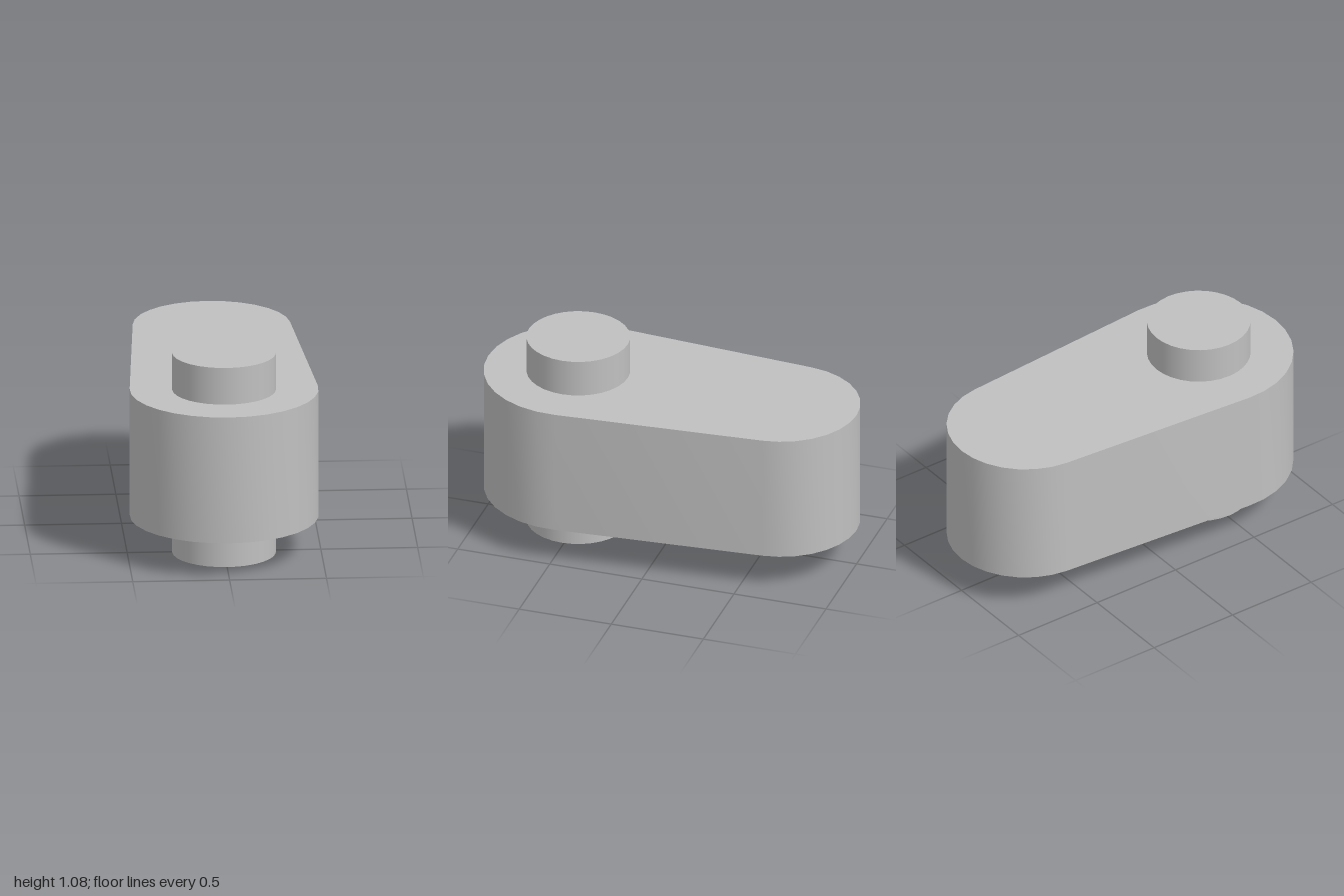
import * as THREE from 'three';
import { toCreasedNormals } from 'three/addons/utils/BufferGeometryUtils.js';

export function createModel() {
  const model = new THREE.Group();
  model.name = 'cranklink';
  const grey = new THREE.MeshStandardMaterial({ color: 0xc0c0c0 });
  grey.name = 'light grey';

  const frontR = 0.487, frontZ = 0.513;
  const backR = 0.407, backZ = -0.593;
  // Angle at which the straight flanks touch both round ends
  const tilt = Math.asin((frontR - backR) / (frontZ - backZ));

  // Tapered arm outline, drawn in x and -z, then extruded upward
  const points = [];
  const addArc = (z, r, from, to, steps) => {
    for (let i = 0; i <= steps; i++) {
      const a = from + (to - from) * i / steps;
      points.push(new THREE.Vector2(r * Math.cos(a), -z + r * Math.sin(a)));
    }
  };
  addArc(backZ, backR, tilt, Math.PI - tilt, 14);
  addArc(frontZ, frontR, Math.PI - tilt, 2 * Math.PI + tilt, 16);
  const armGeometry = new THREE.ExtrudeGeometry(new THREE.Shape(points), {
    depth: 0.68, bevelEnabled: false,
  });
  armGeometry.rotateX(-Math.PI / 2);
  const arm = new THREE.Mesh(toCreasedNormals(armGeometry, Math.PI / 6), grey);
  arm.name = 'taperedArm';
  arm.position.y = 0.198;
  model.add(arm);

  // Round pin running through the wide end
  const height = 1.076;
  const pin = new THREE.Mesh(new THREE.CylinderGeometry(0.268, 0.268, height, 32), grey);
  pin.name = 'pivotPin';
  pin.position.set(0, height / 2, 0.511);
  model.add(pin);

  return model;
}
